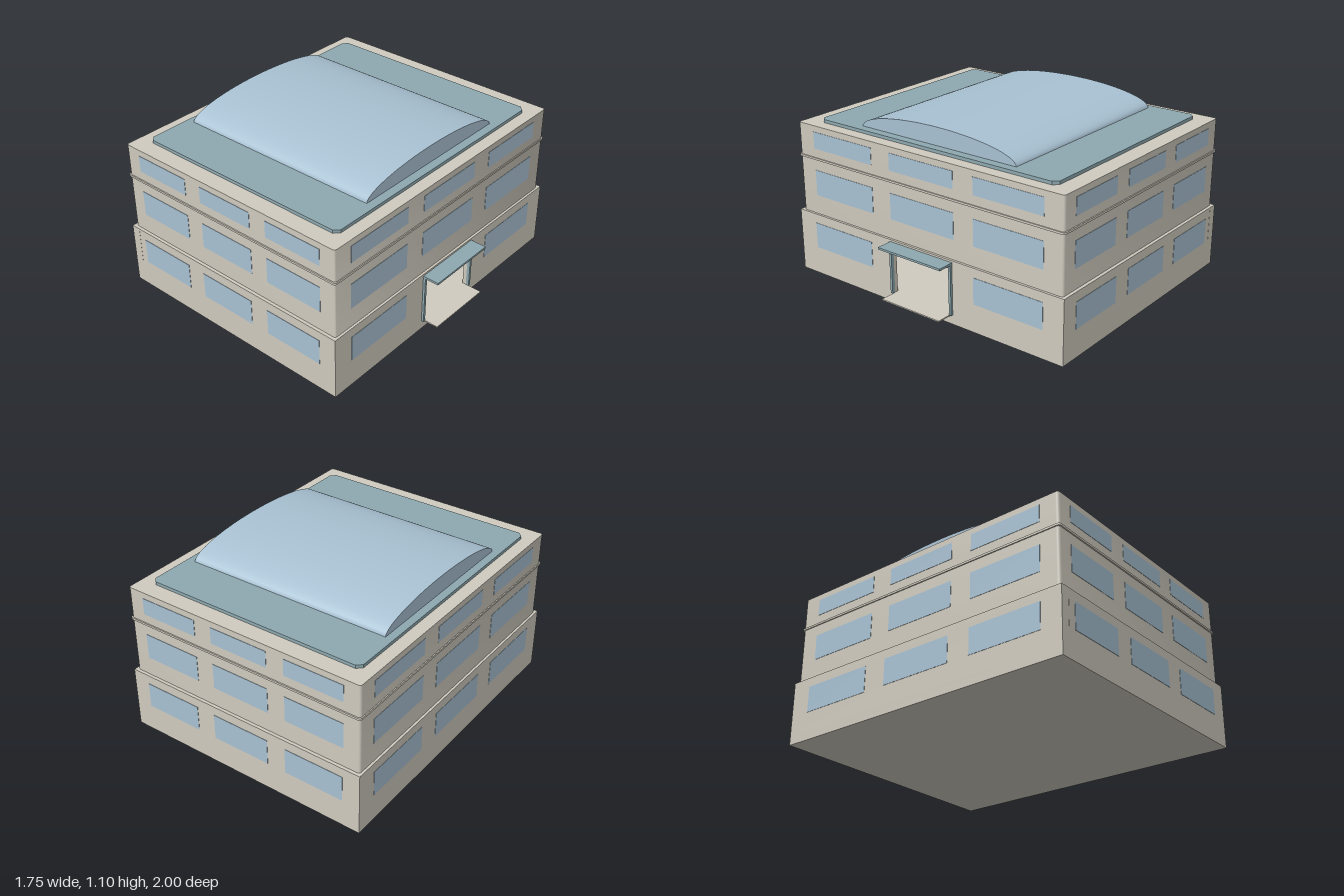
import * as THREE from 'three';
import { toCreasedNormals } from 'three/addons/utils/BufferGeometryUtils.js';

const CX = -0.0525; // centre of the building across x

const material = (name, color) => {
  const m = new THREE.MeshStandardMaterial({ color });
  m.name = name;
  return m;
};

export function createModel() {
  const model = new THREE.Group();
  model.name = 'building';
  const stone = material('stone', 0xd0cbbf);
  const glass = material('glass', 0xa9c2d3);
  const trim = material('trim', 0x8ea9b0);

  const add = (name, geometry, mat, parent = model) => {
    const mesh = new THREE.Mesh(geometry, mat);
    mesh.name = name;
    parent.add(mesh);
    return mesh;
  };
  // Box given by its limits along each axis
  const box = (name, mat, x0, x1, y0, y1, z0, z1, parent) => {
    const g = new THREE.BoxGeometry(x1 - x0, y1 - y0, z1 - z0);
    g.translate((x0 + x1) / 2, (y0 + y1) / 2, (z0 + z1) / 2);
    return add(name, g, mat, parent);
  };
  // Horizontal slab with rounded vertical corners
  const slab = (name, mat, hx, hz, r, y0, y1, segments = 4) => {
    const s = new THREE.Shape();
    s.moveTo(-hx + r, -hz);
    s.lineTo(hx - r, -hz);
    s.quadraticCurveTo(hx, -hz, hx, -hz + r);
    s.lineTo(hx, hz - r);
    s.quadraticCurveTo(hx, hz, hx - r, hz);
    s.lineTo(-hx + r, hz);
    s.quadraticCurveTo(-hx, hz, -hx, hz - r);
    s.lineTo(-hx, -hz + r);
    s.quadraticCurveTo(-hx, -hz, -hx + r, -hz);
    const g = new THREE.ExtrudeGeometry(s, { depth: y1 - y0, bevelEnabled: false, curveSegments: segments });
    g.rotateX(-Math.PI / 2);
    g.translate(CX, y0, 0);
    return add(name, toCreasedNormals(g, 0.6), mat);
  };

  // Hollow ground storey: floor, ceiling and three plain walls
  const ground = new THREE.Group();
  ground.name = 'groundStorey';
  model.add(ground);
  const X0 = -0.875, X1 = 0.77, T = 0.03;
  box('groundFloor', stone, X0, X1, 0, 0.06, -1, 1, ground);
  box('groundCeiling', stone, X0, X1, 0.37, 0.4, -1, 1, ground);
  box('leftWall', stone, X0, X0 + T, 0.06, 0.37, -1, 1, ground).name = 'farWall';
  for (const [name, z] of [['frontWall', 1 - T], ['backWall', -1]]) {
    box(name, stone, X0 + T, X1, 0.06, 0.37, z, z + T, ground);
  }
  // Entrance wall, split either side of the open doorway
  for (const [z0, z1] of [[-1 + T, -0.22], [0.22, 1 - T]]) {
    box('entranceWall', stone, X1 - T, X1, 0.06, 0.37, z0, z1, ground);
  }
  // Inner partition whose edges just show on the front and back walls
  box('partition', stone, -0.817, -0.813, 0.155, 0.38, -1.001, 1.001, ground);

  // Upper storeys with a thin projecting band between them
  slab('middleStorey', stone, 0.8075, 0.98, 0.018, 0.4, 0.755);
  slab('storeyBand', stone, 0.814, 0.988, 0.018, 0.755, 0.768);
  slab('topStorey', stone, 0.8075, 0.98, 0.018, 0.768, 0.97);

  // Roof slab with cut corners
  slab('roofSlab', trim, 0.728, 0.872, 0.03, 0.97, 0.99, 1);

  // Vaulted roof light: half-ellipse section run along x
  const arc = new THREE.Shape();
  for (let i = 0; i <= 32; i++) {
    const a = (Math.PI * i) / 32;
    arc[i ? 'lineTo' : 'moveTo'](0.57 * Math.cos(a), 0.11 * Math.sin(a));
  }
  const vault = new THREE.ExtrudeGeometry(arc, { depth: 1.35, bevelEnabled: false });
  vault.rotateY(Math.PI / 2);
  vault.translate(-0.73, 0.99, 0);
  add('roofVault', toCreasedNormals(vault, 0.6), glass);

  // Window rows on all four sides; the doorway replaces one pane
  const windows = new THREE.Group();
  windows.name = 'windows';
  model.add(windows);
  const rows = [
    { y0: 0.177, y1: 0.341, hx: 0.8225, hz: 1, px: 0.515, pz: 0.627, ground: true },
    { y0: 0.523, y1: 0.686, hx: 0.8075, hz: 0.98, px: 0.508, pz: 0.617 },
    { y0: 0.825, y1: 0.931, hx: 0.8075, hz: 0.98, px: 0.508, pz: 0.617 },
  ];
  const E = 0.002;
  for (const r of rows) {
    for (const i of [-1, 0, 1]) {
      for (const side of [-1, 1]) {
        const x = CX + i * r.px, z = side * r.hz;
        box('window', glass, x - 0.195, x + 0.195, r.y0, r.y1, z - E, z + E, windows);
        if (r.ground && i === 0 && side === 1) continue;
        const wx = CX + side * r.hx, wz = i * r.pz;
        box('window', glass, wx - E, wx + E, r.y0, r.y1, wz - 0.238, wz + 0.238, windows);
      }
    }
  }

  // Entrance: step, frame posts, lintel and canopy
  const entrance = new THREE.Group();
  entrance.name = 'entrance';
  model.add(entrance);
  box('doorStep', stone, X1, 0.875, 0.052, 0.06, -0.22, 0.22, entrance);
  for (const s of [-1, 1]) {
    box('doorPost', trim, X1 - 0.005, 0.785, 0.06, 0.375, s * 0.227 - 0.008, s * 0.227 + 0.008, entrance);
  }
  box('doorLintel', stone, X1 - 0.005, 0.793, 0.36, 0.375, -0.219, 0.219, entrance);
  box('canopy', trim, X1, 0.875, 0.375, 0.388, -0.236, 0.236, entrance);

  return model;
}
